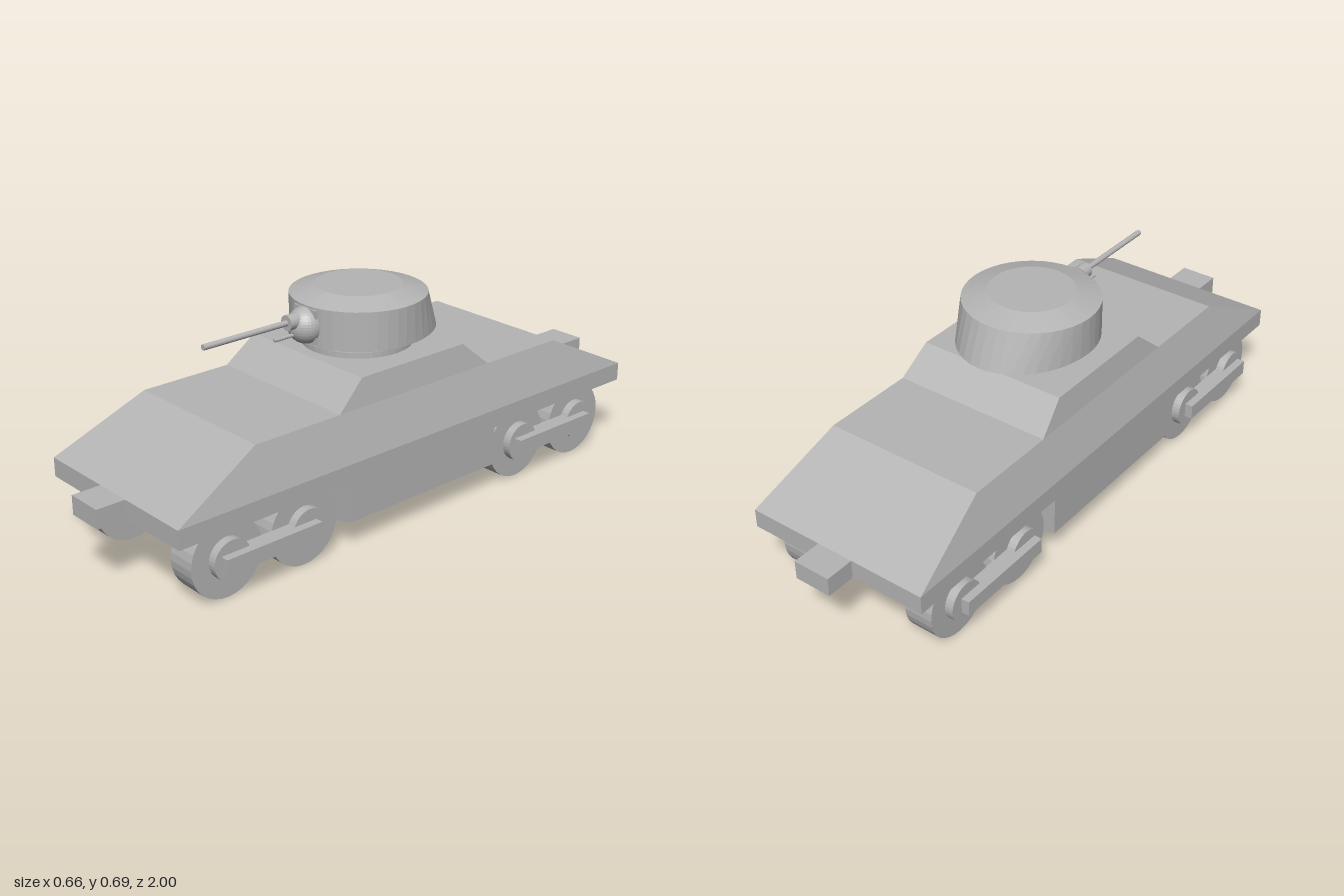
import * as THREE from 'three';

export function createModel() {
  const model = new THREE.Group();
  model.name = 'armouredRailCar';
  const grey = new THREE.MeshStandardMaterial({ color: 0xb4b4b4, flatShading: true });
  grey.name = 'plain grey';

  const add = (name, geometry, x = 0, y = 0, z = 0, parent = model) => {
    const mesh = new THREE.Mesh(geometry, grey);
    mesh.name = name;
    mesh.position.set(x, y, z);
    parent.add(mesh);
    return mesh;
  };

  // Box between two heights whose top is narrowed to its own half sizes
  const taperedBox = (name, y0, y1, [bx, bz], [tx, tz]) => {
    const g = new THREE.BoxGeometry(2 * bx, y1 - y0, 2 * bz);
    const p = g.attributes.position;
    for (let i = 0; i < p.count; i++) {
      if (p.getY(i) > 0) {
        p.setX(i, Math.sign(p.getX(i)) * tx);
        p.setZ(i, Math.sign(p.getZ(i)) * tz);
      }
    }
    g.computeVertexNormals();
    return add(name, g, 0, (y0 + y1) / 2, 0);
  };

  // Round part lying along z, from z0 to z1
  const rodZ = (name, r, y, z0, z1, sides = 16) =>
    add(name, new THREE.CylinderGeometry(r, r, z1 - z0, sides).rotateX(Math.PI / 2), 0, y, (z0 + z1) / 2);

  // Hull and raised centre
  taperedBox('hullSkirt', 0.218, 0.278, [0.307, 0.907], [0.307, 0.907]);
  taperedBox('hullUpper', 0.278, 0.421, [0.307, 0.907], [0.265, 0.612]);
  taperedBox('casemate', 0.421, 0.505, [0.265, 0.305], [0.25, 0.207]);

  // Belly with a gently curved underside
  const belly = new THREE.Shape();
  belly.moveTo(0.306, 0.22);
  belly.lineTo(-0.306, 0.22);
  belly.lineTo(-0.306, 0.092);
  belly.quadraticCurveTo(-0.22, 0.064, 0, 0.063);
  belly.quadraticCurveTo(0.22, 0.064, 0.306, 0.092);
  belly.closePath();
  add('belly', new THREE.ExtrudeGeometry(belly, { depth: 0.604, bevelEnabled: false, curveSegments: 8 }), 0, 0, -0.302);

  // Couplers at both ends
  for (const s of [1, -1]) {
    add('coupler', new THREE.BoxGeometry(0.122, 0.06, 0.094), 0, 0.248, s * 0.953);
  }

  // Two wheel pairs on each side, joined by a bar
  const wheel = new THREE.CylinderGeometry(0.122, 0.122, 0.093, 32).rotateZ(Math.PI / 2);
  const hub = new THREE.CylinderGeometry(0.063, 0.063, 0.028, 32).rotateZ(Math.PI / 2);
  const bar = new THREE.BoxGeometry(0.054, 0.049, 0.338);
  for (const side of [1, -1]) {
    for (const zc of [0.592, -0.578]) {
      const bogie = new THREE.Group();
      bogie.name = 'bogie';
      bogie.position.z = zc;
      model.add(bogie);
      for (const dz of [0.138, -0.138]) {
        add('wheel', wheel, side * 0.2315, 0.122, dz, bogie);
        add('hub', hub, side * 0.291, 0.125, dz, bogie);
      }
      add('bogieBar', bar, side * 0.304, 0.125, 0.008, bogie);
    }
  }

  // Turret ring and neck
  add('turretRing', new THREE.CylinderGeometry(0.173, 0.173, 0.018, 40), 0, 0.514, 0);
  add('turretNeck', new THREE.CylinderGeometry(0.081, 0.081, 0.022, 32), 0, 0.532, 0);

  // Turret wall, with the rear of its foot drawn backwards
  const wall = new THREE.CylinderGeometry(0.213, 0.213, 0.123, 40);
  const p = wall.attributes.position;
  for (let i = 0; i < p.count; i++) {
    if (p.getY(i) < 0 && p.getZ(i) < 0) p.setZ(i, p.getZ(i) * 1.22);
  }
  wall.computeVertexNormals();
  add('turretWall', wall, 0, 0.6005, -0.005);
  add('turretRoof', new THREE.CylinderGeometry(0.134, 0.213, 0.024, 40), 0, 0.674, -0.005);

  // Gun mount and guns
  add('mantletPlate', new THREE.BoxGeometry(0.097, 0.105, 0.03), 0, 0.602, 0.195);
  add('mantletBall', new THREE.SphereGeometry(0.057, 32, 20), 0, 0.6, 0.205);
  rodZ('gunCollar', 0.024, 0.622, 0.2, 0.28, 24);
  rodZ('gunBarrel', 0.009, 0.622, 0.25, 0.583);
  rodZ('machineGun', 0.006, 0.579, 0.22, 0.327, 12);

  return model;
}
